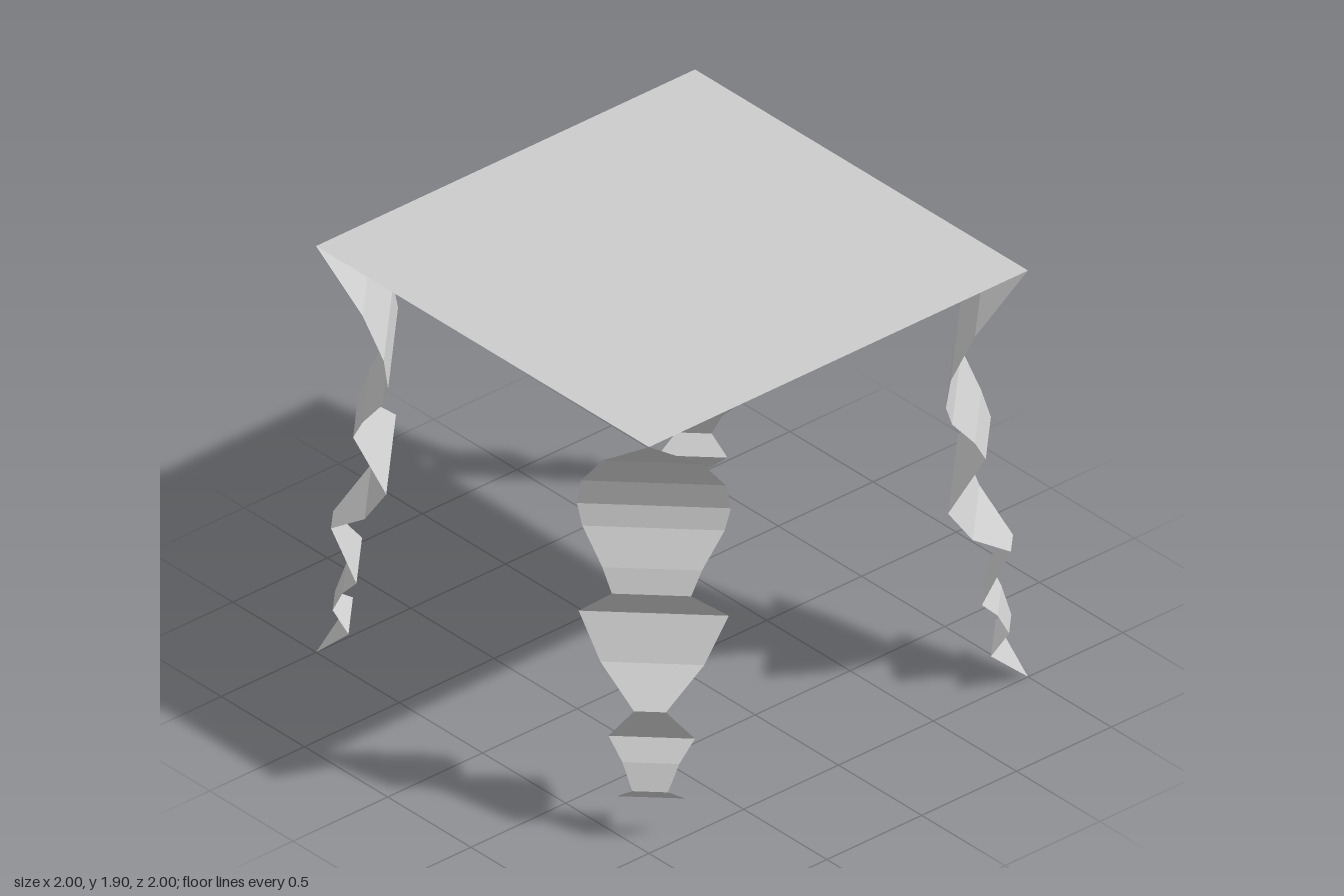
import * as THREE from 'three';

const TOP = 1.9;

// Ribbon profile: [height, how far the ribbon cuts in from the corner]
const PROFILE = [
  [TOP, 0], [1.705, 0.28], [1.553, 0.407], [1.435, 0.433], [1.345, 0.4],
  [1.207, 0.28], [1.11, 0.223], [0.937, 0.422], [0.76, 0.292], [0.622, 0.09],
  [0.436, 0.243], [0.352, 0.16], [0.244, 0.1], [0.176, 0.195], [0, 0],
];

// Strip spanning the +x +z corner, one diagonal cross-line per profile point
function ribbonGeometry(profile) {
  const positions = [];
  const index = [];
  profile.forEach(([y, inset], i) => {
    positions.push(1 - inset, y, 1, 1, y, 1 - inset);
    if (i === 0) return;
    const a = 2 * (i - 1), b = a + 1, c = a + 2, d = a + 3;
    if (profile[i - 1][1] > 0) index.push(a, c, b);
    if (inset > 0) index.push(b, c, d);
  });
  const geometry = new THREE.BufferGeometry();
  geometry.setAttribute('position', new THREE.Float32BufferAttribute(positions, 3));
  geometry.setIndex(index);
  const flat = geometry.toNonIndexed();
  flat.computeVertexNormals();
  return flat;
}

export function createModel() {
  const group = new THREE.Group();
  const material = new THREE.MeshStandardMaterial({
    color: 0xcccccc, flatShading: true, side: THREE.DoubleSide,
  });

  // Square canopy sheet
  const canopy = new THREE.Mesh(new THREE.PlaneGeometry(2, 2).rotateX(-Math.PI / 2), material);
  canopy.name = 'canopy';
  canopy.position.y = TOP;
  group.add(canopy);

  // Pleated corner ribbons; the front left one lacks its bottom tip
  const names = ['frontLeftRibbon', 'backLeftRibbon', 'backRightRibbon', 'frontRightRibbon'];
  names.forEach((name, i) => {
    const profile = i === 0 ? PROFILE.slice(0, -1) : PROFILE;
    const ribbon = new THREE.Mesh(ribbonGeometry(profile), material);
    ribbon.name = name;
    ribbon.rotation.y = i * Math.PI / 2;
    group.add(ribbon);
  });

  return group;
}
